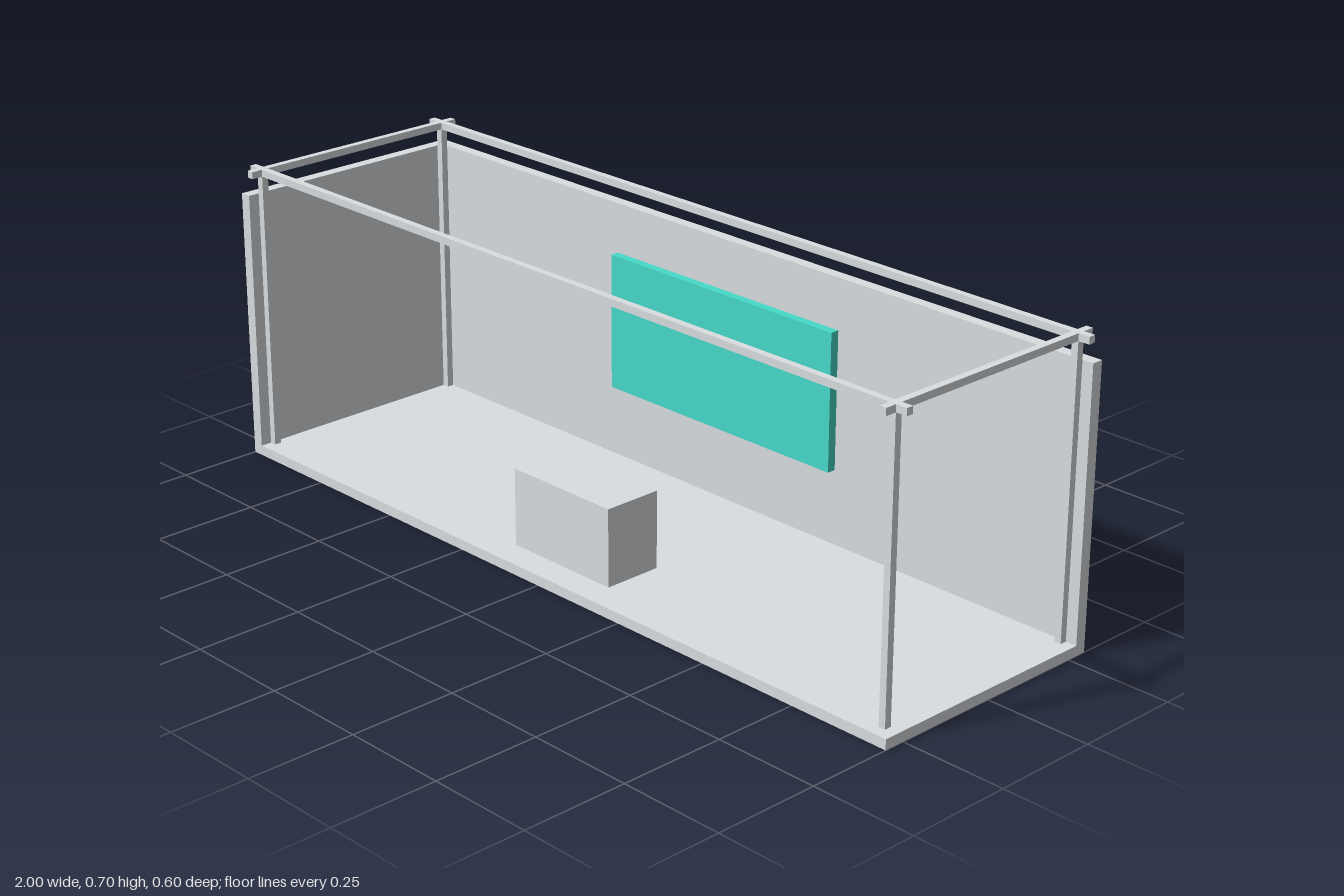
import * as THREE from 'three';

export function createModel() {
  const model = new THREE.Group();
  model.name = 'exhibitionBooth';
  const grey = new THREE.MeshStandardMaterial({ color: 0xdadee1 });
  grey.name = 'light grey';
  const teal = new THREE.MeshStandardMaterial({ color: 0x46dac9 });
  teal.name = 'turquoise';

  // Box given by its lower and upper corners
  function box(name, min, max, material = grey, parent = model) {
    const size = max.map((v, i) => v - min[i]);
    const mesh = new THREE.Mesh(new THREE.BoxGeometry(...size), material);
    mesh.position.set(...max.map((v, i) => (v + min[i]) / 2));
    mesh.name = name;
    parent.add(mesh);
  }

  const floorTop = 0.024, wall = 0.027, wallTop = 0.64, top = 0.7;
  const bar = 0.0165, half = bar / 2;
  const barX = 1 - wall - half, barZ = 0.3 - wall - half;

  // Floor and the two walls; the front and the +x end stay open
  box('floor', [-1, 0, -0.3], [1, floorTop, 0.3]);
  box('backWall', [-1, floorTop, -0.3], [1, wallTop, -0.3 + wall]);
  box('sideWall', [-1, floorTop, -0.3 + wall], [-1 + wall, wallTop, 0.3]);

  // Square-bar frame with rails crossing at the corners
  const frame = new THREE.Group();
  frame.name = 'frame';
  model.add(frame);
  for (const sx of [-1, 1]) {
    const x = sx * barX;
    box('crossRail', [x - half, top - bar, -0.3], [x + half, top, 0.3], grey, frame);
    for (const sz of [-1, 1]) {
      const z = sz * barZ;
      box('post', [x - half, floorTop, z - half], [x + half, top - bar, z + half], grey, frame);
    }
  }
  for (const sz of [-1, 1]) {
    const z = sz * barZ;
    box('longRail', [-1, top - bar, z - half], [1, top, z + half], grey, frame);
  }

  // Counter and display panel
  box('counter', [-0.148, floorTop, 0.09], [0.148, 0.205, 0.231]);
  box('displayPanel', [-0.34, 0.21, -0.255], [0.34, 0.531, -0.234], teal);

  return model;
}
